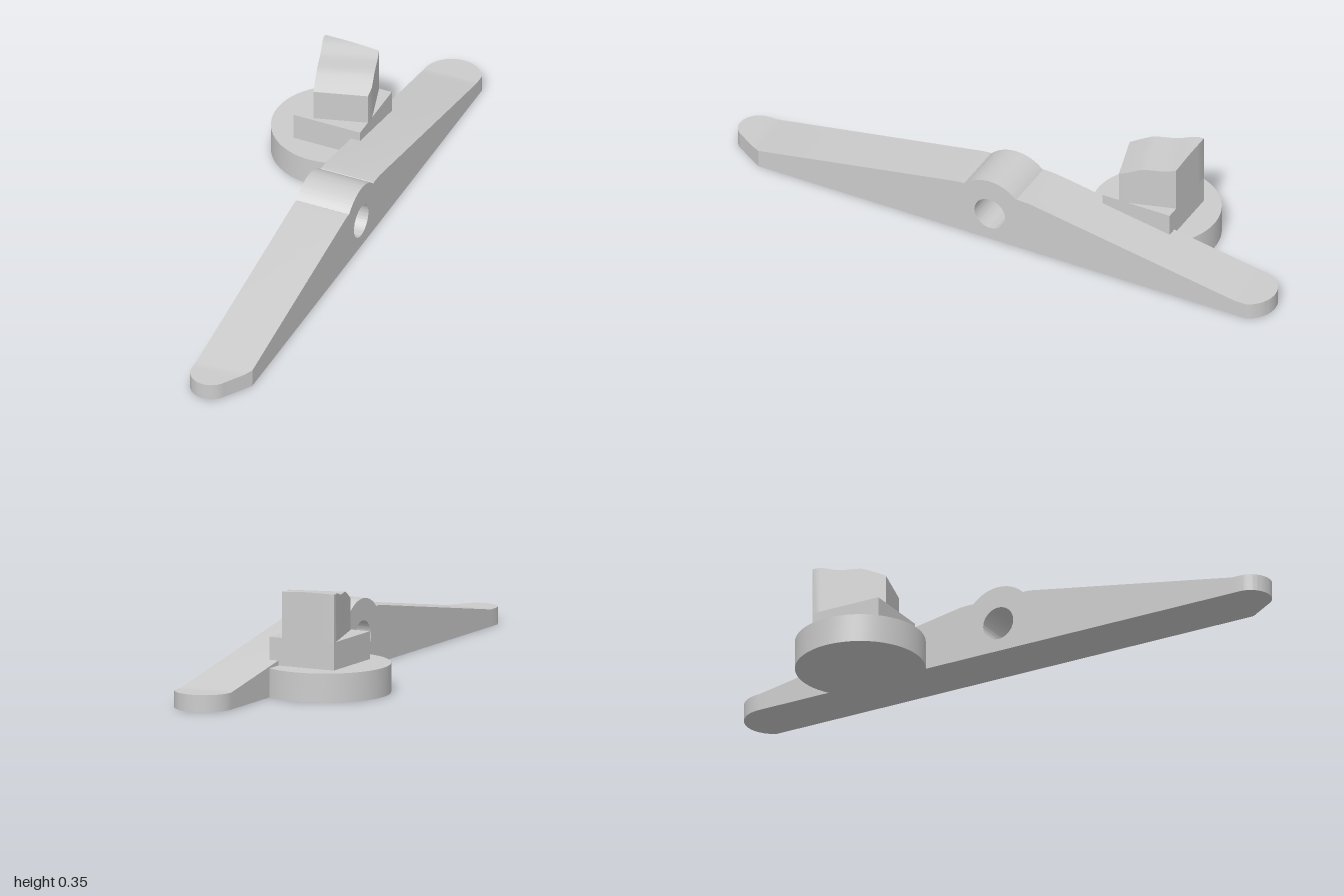
import * as THREE from 'three';
import { toCreasedNormals } from 'three/addons/utils/BufferGeometryUtils.js';

const material = new THREE.MeshStandardMaterial({ color: 0xcccccc });
const X0 = 0.067, X1 = 0.257; // arm sides

function part(name, geometry) {
  const mesh = new THREE.Mesh(toCreasedNormals(geometry, 0.5), material);
  mesh.name = name;
  return mesh;
}

// Joins rectangular sections [z, xLow, xHigh, yBottom, yTop], given in rising z
function loft(sections) {
  const pos = [], idx = [];
  for (const [z, lo, hi, bot, top] of sections) {
    pos.push(lo, bot, z, hi, bot, z, hi, top, z, lo, top, z);
  }
  const last = (sections.length - 1) * 4;
  for (let i = 0; i < last; i += 4) {
    for (let k = 0; k < 4; k++) {
      const a = i + k, b = i + (k + 1) % 4;
      idx.push(a, b, b + 4, a, b + 4, a + 4);
    }
  }
  idx.push(0, 3, 2, 0, 2, 1, last, last + 1, last + 2, last, last + 2, last + 3);
  const g = new THREE.BufferGeometry();
  g.setAttribute('position', new THREE.Float32BufferAttribute(pos, 3));
  g.setIndex(idx);
  return g;
}

// Height of the tapering arm near its ends
const armTop = (z) => Math.max(0.057, 0.057 + (0.9 - Math.abs(z)) * 0.133 / 0.765);
const half = (r, d) => Math.sqrt(Math.max(r * r - d * d, 1e-8));

// Distances along a rounded end, closer together towards the tip
const arcSteps = (r, n) => Array.from({ length: n + 1 }, (_, i) => r * Math.sin(i / n * Math.PI / 2));

function armMiddle() {
  const cz = 0.01, cy = 0.1, a = Math.asin(0.09 / 0.131);
  const s = new THREE.Shape();
  s.moveTo(-0.87, 0);
  s.lineTo(0.87, 0);
  s.lineTo(0.87, armTop(0.87));
  s.lineTo(0.135, 0.19);
  s.lineTo(0.108, 0.192);
  s.absarc(cz, cy, 0.131, a, Math.PI - a, false); // hub bump
  s.lineTo(-0.088, 0.192);
  s.lineTo(-0.135, 0.19);
  s.lineTo(-0.87, armTop(0.87));
  s.closePath();
  const hole = new THREE.Path();
  hole.absarc(cz, cy, 0.057, 0, Math.PI * 2, true);
  s.holes.push(hole);
  const g = new THREE.ExtrudeGeometry(s, { depth: X1 - X0, bevelEnabled: false, curveSegments: 32 });
  g.rotateY(-Math.PI / 2);
  g.translate(X1, 0, 0);
  return g;
}

// Front tip: a small round on the right, a long chamfer on the left
function frontTip() {
  const zs = [0.87, 0.885, 0.9, ...arcSteps(0.07, 14).map((d) => 0.93 + d)];
  return loft(zs.map((z) => {
    const h = half(0.07, Math.max(z - 0.93, 0));
    const hi = z < 0.967 ? X1 - (z - 0.87) * 0.63 : 0.137 + h;
    return [z, 0.137 - h, hi, 0, armTop(z)];
  }));
}

// Back tip: a large round cut off by the arm's left side
function backTip() {
  const zs = [...arcSteps(0.1, 18).reverse().map((d) => -0.9 - d), -0.87];
  return loft(zs.map((z) => {
    const h = half(0.1, Math.max(-z - 0.9, 0));
    return [z, 0.167 - h, Math.min(X1, 0.167 + h), 0, armTop(z)];
  }));
}

// Turned block with a wavy top, trimmed to the square of the base below it
function headBlock(angle) {
  const c = Math.cos(angle), s = Math.sin(angle);
  const profile = [[0, 0.297], [0.03, 0.311], [0.06, 0.324], [0.075, 0.33], [0.09, 0.333], [0.12, 0.3335],
    [0.15, 0.334], [0.165, 0.336], [0.18, 0.34], [0.194, 0.344], [0.21, 0.348], [0.223, 0.35],
    [0.236, 0.35], [0.249, 0.35]];
  return loft(profile.reverse().map(([d, top]) => {
    const lo = Math.max(0, (-0.067 + s * d) / c);
    const hi = Math.min(0.19, (0.173 + s * d) / c, (0.24 - c * d) / s);
    return [-d, lo, Math.max(hi, lo + 0.0005), 0.185, top];
  }));
}

export function createModel() {
  const model = new THREE.Group();
  model.name = 'pivotLever';

  // Pierced lever arm
  const arm = new THREE.Group();
  arm.name = 'arm';
  arm.add(part('armMiddle', armMiddle()), part('armFrontTip', frontTip()), part('armBackTip', backTip()));
  model.add(arm);

  // Round foot beside the arm
  const disc = part('disc', new THREE.CylinderGeometry(0.215, 0.215, 0.097, 72));
  disc.position.set(-0.043, 0.0485, -0.45);
  model.add(disc);

  // Square base on the disc
  const base = part('squareBase', new THREE.BoxGeometry(0.24, 0.1, 0.25));
  base.position.set(-0.02, 0.14, -0.45);
  model.add(base);

  // Turned head on the base
  const angle = THREE.MathUtils.degToRad(16.5);
  const head = part('headBlock', headBlock(angle));
  head.position.set(-0.073, 0, -0.335);
  head.rotation.y = angle;
  model.add(head);

  return model;
}
